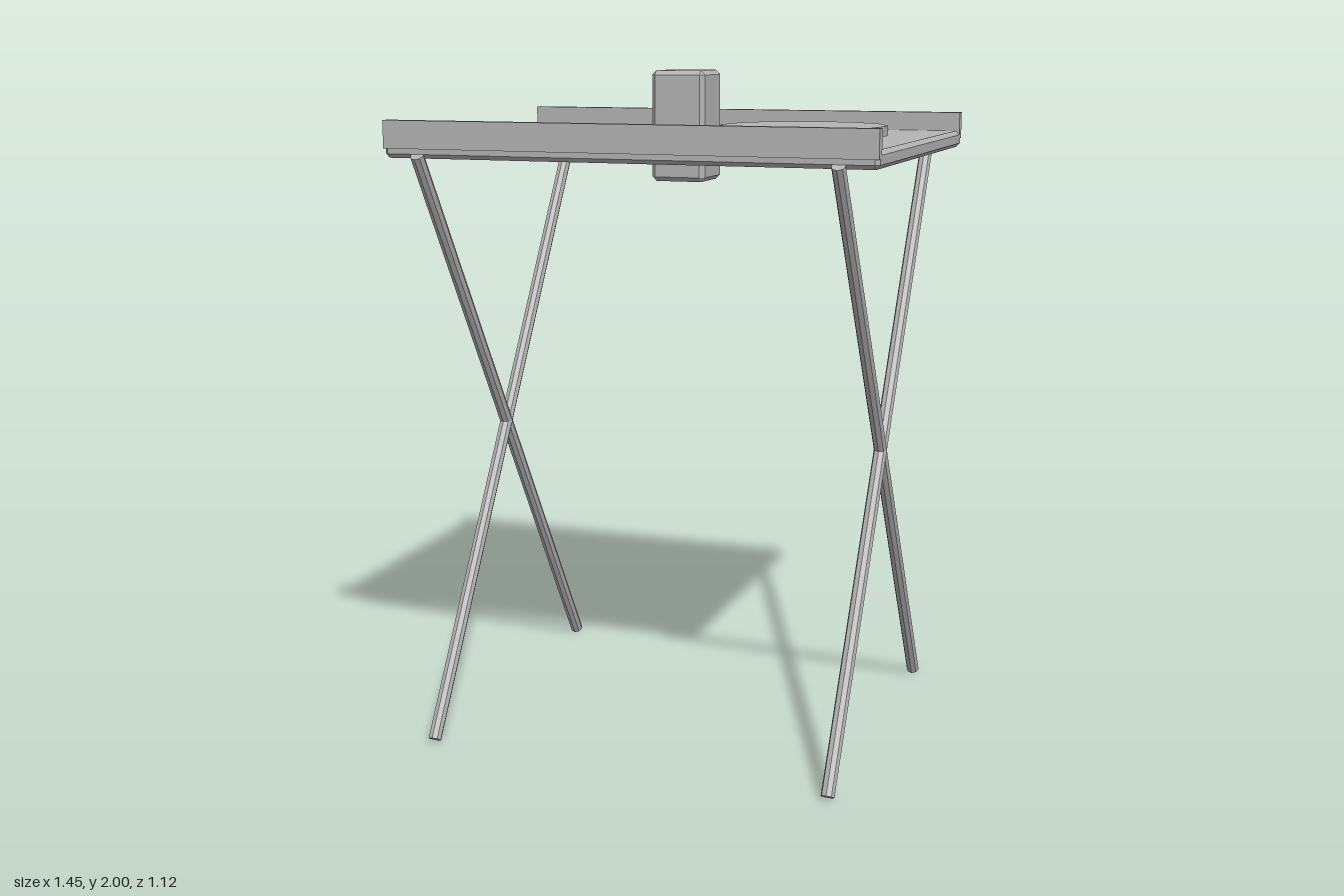
import * as THREE from 'three';
import { ConvexGeometry } from 'three/addons/geometries/ConvexGeometry.js';

const grey = new THREE.MeshStandardMaterial({ color: 0xb4b4b4, flatShading: true });
grey.name = 'plain grey';

// Box with every edge cut by a flat chamfer
function chamferBox(w, h, d, c) {
  const points = [];
  for (const x of [-w / 2, w / 2])
    for (const y of [-h / 2, h / 2])
      for (const z of [-d / 2, d / 2])
        for (let axis = 0; axis < 3; axis++) {
          const p = new THREE.Vector3(x, y, z);
          for (let k = 0; k < 3; k++) {
            if (k !== axis) p.setComponent(k, p.getComponent(k) - Math.sign(p.getComponent(k)) * c);
          }
          points.push(p);
        }
  return new ConvexGeometry(points);
}

export function createModel() {
  const group = new THREE.Group();
  group.name = 'foldingTrayTable';

  function add(name, geometry, x, y, z) {
    const mesh = new THREE.Mesh(geometry, grey);
    mesh.name = name;
    mesh.position.set(x, y, z);
    group.add(mesh);
    return mesh;
  }

  // Tray board
  add('trayBoard', chamferBox(1.446, 0.05, 1.08, 0.012), 0, 1.783, 0);

  // Raised rails along the front and back
  for (const side of [1, -1]) {
    add(side > 0 ? 'frontRail' : 'backRail', new THREE.BoxGeometry(1.446, 0.08, 0.03), 0, 1.825, side * 0.529);
  }

  // Crossed legs, one pair at each end
  const bottomZ = 0.545, bottomY = 0.011, topY = 1.767;
  const length = Math.hypot(topY - bottomY, bottomZ * 2);
  const tilt = Math.atan2(bottomZ * 2, topY - bottomY);
  for (const x of [-0.615, 0.615]) {
    for (const lean of [1, -1]) {
      const leg = add((x > 0 ? 'left' : 'right') + (lean > 0 ? 'LegForward' : 'LegBackward'),
        new THREE.CylinderGeometry(0.02, 0.02, length, 8), x, (bottomY + topY) / 2, 0);
      leg.rotation.x = lean * tilt;
    }
  }

  // Plate lying on the board
  add('plate', new THREE.CylinderGeometry(0.25, 0.25, 0.03, 14), 0.332, 1.823, -0.114);

  // Block passing through the board
  add('block', chamferBox(0.165, 0.325, 0.165, 0.013), 0, 1.8375, 0);

  return group;
}
